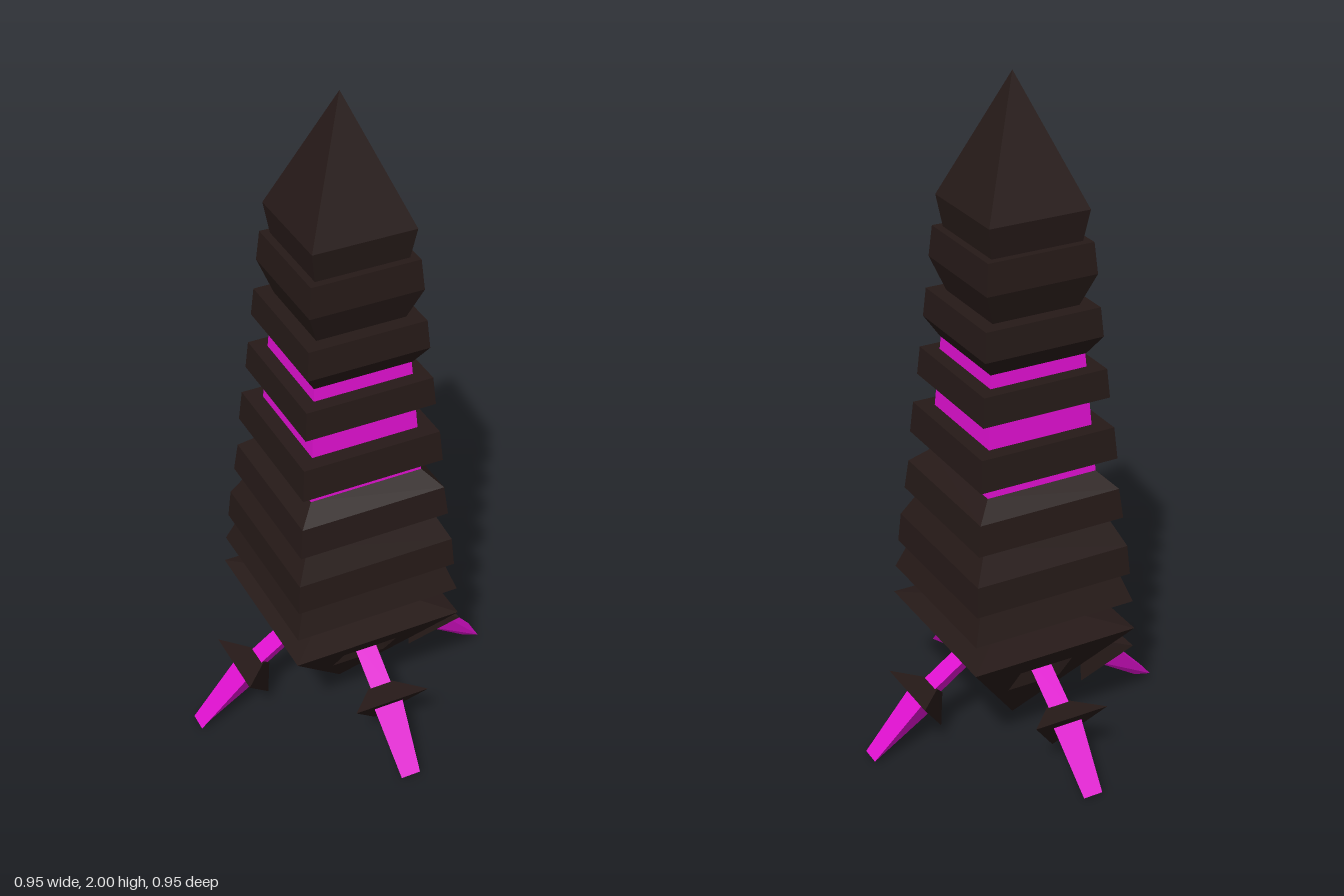
import * as THREE from 'three';

const dark = new THREE.MeshStandardMaterial({ color: 0x261a18, flatShading: true });
const glow = new THREE.MeshStandardMaterial({ color: 0xe010d0, flatShading: true });

function add(parent, name, geometry, material) {
  const mesh = new THREE.Mesh(geometry, material);
  mesh.name = name;
  parent.add(mesh);
  return mesh;
}

// Square solid from a bottom-to-top profile of [halfWidth, y]
function squareTier(profile) {
  const points = profile.map(([w, y]) => new THREE.Vector2(w * Math.SQRT2, y));
  const geo = new THREE.LatheGeometry(points, 4, Math.PI / 4).toNonIndexed();
  geo.computeVertexNormals();
  return geo;
}

// Faceted geometry from polygons (fans of corner points)
function fromPolygons(polygons) {
  const pos = [];
  for (const p of polygons)
    for (let i = 1; i < p.length - 1; i++) pos.push(...p[0], ...p[i], ...p[i + 1]);
  const geo = new THREE.BufferGeometry();
  geo.setAttribute('position', new THREE.Float32BufferAttribute(pos, 3));
  geo.computeVertexNormals();
  return geo;
}

// Three-sided bar between two sections: [topX, topY, halfWidth, bottomX, bottomY]
function triangularBar(inner, outer) {
  const ring = ([tx, ty, h, bx, by]) => [[tx, ty, h], [tx, ty, -h], [bx, by, 0]];
  const a = ring(inner), b = ring(outer);
  const polygons = [a, [...b].reverse()];
  for (let i = 0; i < 3; i++) {
    const j = (i + 1) % 3;
    polygons.push([a[i], b[i], b[j], a[j]]);
  }
  return fromPolygons(polygons);
}

// One sloping side of the inverted pyramid, with a notch where the leg enters
function notchedSide() {
  const tip = 0.01, top = 0.37, half = 0.26, n = 0.085, low = 0.19, high = 0.292;
  const depth = y => (y - tip) * half / (top - tip);
  const A = [-half, top, half], B = [half, top, half], P = [0, tip, 0];
  const TL = [-n, high, depth(high)], TR = [n, high, depth(high)];
  const BL = [-n, low, depth(low)], BR = [n, low, depth(low)];
  const backL = [-n, high, depth(low)], backR = [n, high, depth(low)];
  return fromPolygons([
    [A, TL, TR, B], [B, TR, BR], [B, BR, P], [P, BR, BL], [P, BL, A], [A, BL, TL],
    [BL, BR, backR, backL], [backL, backR, TR, TL], [BR, TR, backR], [BL, backL, TL],
  ]);
}

export function createModel() {
  const model = new THREE.Group();
  model.name = 'tower';

  // Stacked armour tiers, bottom to top
  const tiers = [
    [[0, 0.43], [0.1, 0.43], [0.255, 0.46], [0.223, 0.55], [0, 0.55]],
    [[0, 0.55], [0.247, 0.55], [0.24, 0.64], [0.195, 0.73], [0, 0.73]],
    [[0, 0.73], [0.23, 0.73], [0.22, 0.82], [0.17, 0.87], [0, 0.87]],
    [[0, 0.915], [0.215, 0.915], [0.207, 1.01], [0, 1.01]],
    [[0, 1.085], [0.155, 1.085], [0.197, 1.1], [0.19, 1.185], [0, 1.185]],
    [[0, 1.225], [0.148, 1.225], [0.182, 1.28], [0.175, 1.365], [0, 1.365]],
    [[0, 1.365], [0.133, 1.365], [0.168, 1.46], [0.16, 1.55], [0, 1.55]],
  ];
  tiers.forEach((profile, i) => add(model, `armourTier${i + 1}`, squareTier(profile), dark));
  add(model, 'spire', squareTier([[0, 1.55], [0.138, 1.55], [0.152, 1.64], [0, 2]]), dark);

  // Glowing core and neck
  add(model, 'core', squareTier([[0, 0.86], [0.172, 0.86], [0.145, 1.24], [0, 1.24]]), glow);
  add(model, 'neck', squareTier([[0, 0.38], [0.1, 0.38], [0.1, 0.44], [0, 0.44]]), glow);

  // Inverted pyramid base with a shallow roof
  add(model, 'baseRoof', squareTier([[0.26, 0.37], [0.1, 0.395], [0, 0.395]]), dark);
  const sideGeo = notchedSide();

  // Legs: thin strut, flared collar, tapered foot
  const strutGeo = triangularBar([0.13, 0.299, 0.033, 0.09, 0.263], [0.31, 0.175, 0.033, 0.27, 0.139]);
  const collarGeo = triangularBar([0.27, 0.199, 0.036, 0.235, 0.155], [0.35, 0.2, 0.117, 0.241, 0.04]);
  const footGeo = triangularBar([0.315, 0.177, 0.047, 0.27, 0.105], [0.473, 0.01, 0.03, 0.437, 0]);
  for (let i = 0; i < 4; i++) {
    const angle = i * Math.PI / 2;
    add(model, `baseSide${i + 1}`, sideGeo, dark).rotation.y = angle;
    const leg = new THREE.Group();
    leg.name = `leg${i + 1}`;
    leg.rotation.y = angle;
    add(leg, 'strut', strutGeo, glow);
    add(leg, 'collar', collarGeo, dark);
    add(leg, 'foot', footGeo, glow);
    model.add(leg);
  }
  return model;
}
